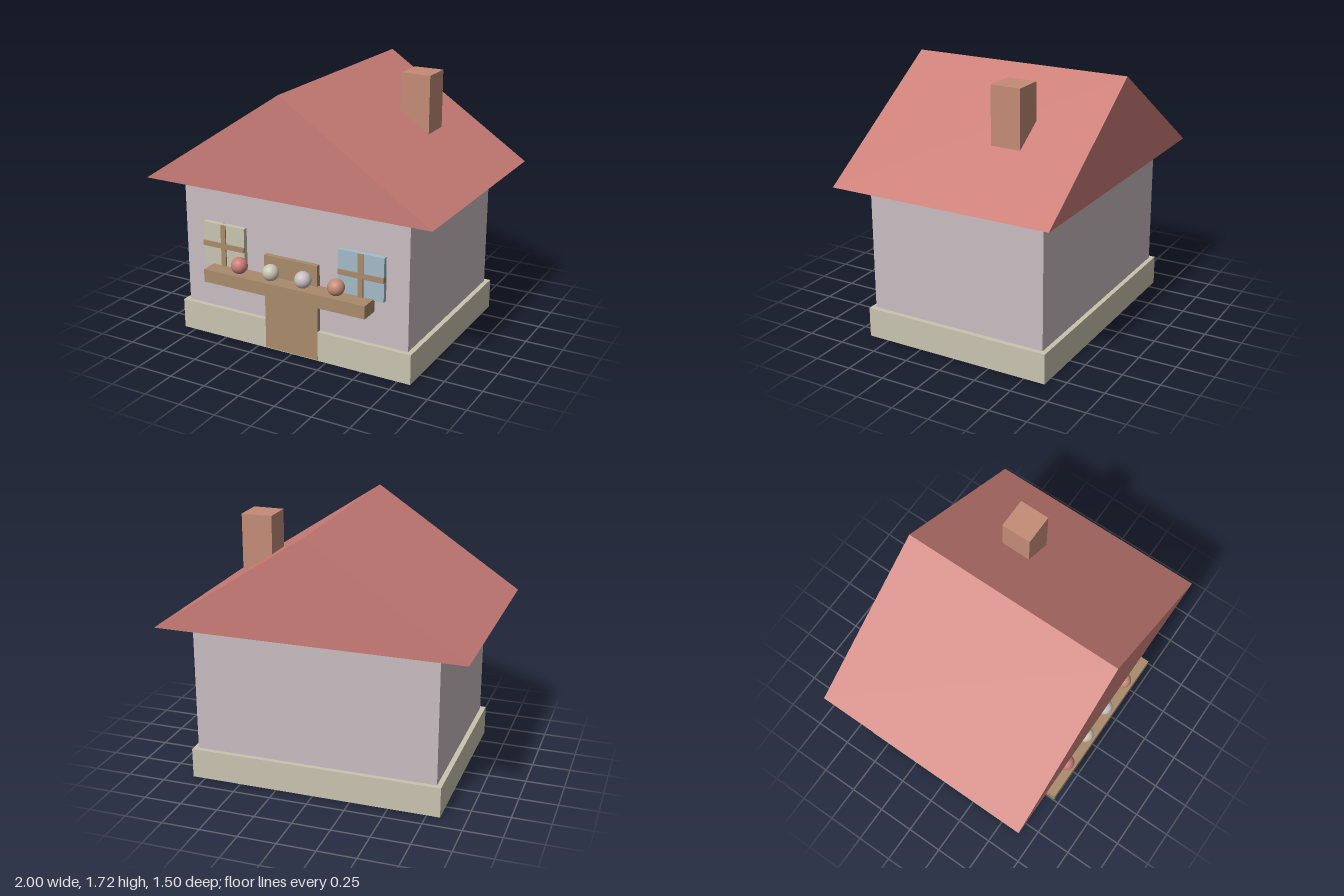
import * as THREE from 'three';

function mat(name, color) {
  const m = new THREE.MeshStandardMaterial({ color });
  m.name = name;
  return m;
}

export function createModel() {
  const house = new THREE.Group();
  house.name = 'house';

  const red = mat('roof red', 0xca7d77);
  const cream = mat('stone cream', 0xc9c4b0);
  const lilac = mat('wall lilac', 0xc9bec2);
  const brown = mat('wood brown', 0xa98b6b);
  const clay = mat('chimney clay', 0xc48c76);
  const blue = mat('glass blue', 0xa3bbc9);

  // Box given by its extents on each axis
  function box(name, material, [x0, x1], [y0, y1], [z0, z1], parent = house) {
    const mesh = new THREE.Mesh(new THREE.BoxGeometry(x1 - x0, y1 - y0, z1 - z0), material);
    mesh.position.set((x0 + x1) / 2, (y0 + y1) / 2, (z0 + z1) / 2);
    mesh.name = name;
    parent.add(mesh);
    return mesh;
  }

  // Body
  box('foundation', cream, [-0.836, 0.836], [0, 0.2], [-0.642, 0.642]);
  box('walls', lilac, [-0.803, 0.803], [0.1, 1.06], [-0.61, 0.61]);

  // Solid gabled roof
  const gable = new THREE.Shape();
  gable.moveTo(-1, 1.06);
  gable.lineTo(1, 1.06);
  gable.lineTo(0, 1.722);
  gable.closePath();
  const roofGeometry = new THREE.ExtrudeGeometry(gable, { depth: 1.496, bevelEnabled: false });
  roofGeometry.translate(0, 0, -0.748);
  const roof = new THREE.Mesh(roofGeometry, red);
  roof.name = 'roof';
  house.add(roof);

  box('chimney', clay, [0.37, 0.57], [1.2, 1.722], [-0.325, -0.125]);

  // Front door, standing just proud of the foundation
  box('door', brown, [-0.192, 0.192], [0.005, 0.647], [0.6, 0.643]);

  // Windows with crossed bars
  for (const [name, x, pane] of [['rightWindow', -0.495, cream], ['leftWindow', 0.495, blue]]) {
    const win = new THREE.Group();
    win.name = name;
    box('pane', pane, [x - 0.155, x + 0.155], [0.503, 0.79], [0.605, 0.642], win);
    box('verticalBar', brown, [x - 0.0175, x + 0.0175], [0.503, 0.79], [0.615, 0.651], win);
    box('crossBar', brown, [x - 0.155, x + 0.155], [0.629, 0.664], [0.615, 0.65], win);
    house.add(win);
  }

  // Shelf with a row of balls
  box('shelf', brown, [-0.58, 0.58], [0.424, 0.51], [0.622, 0.752]);
  const ballGeometry = new THREE.SphereGeometry(0.054, 24, 16);
  [red, cream, lilac, clay].forEach((material, i) => {
    const ball = new THREE.Mesh(ballGeometry, material);
    ball.position.set(-0.35 + i * 0.2333, 0.559, 0.688);
    ball.name = 'ball' + (i + 1);
    house.add(ball);
  });

  return house;
}
